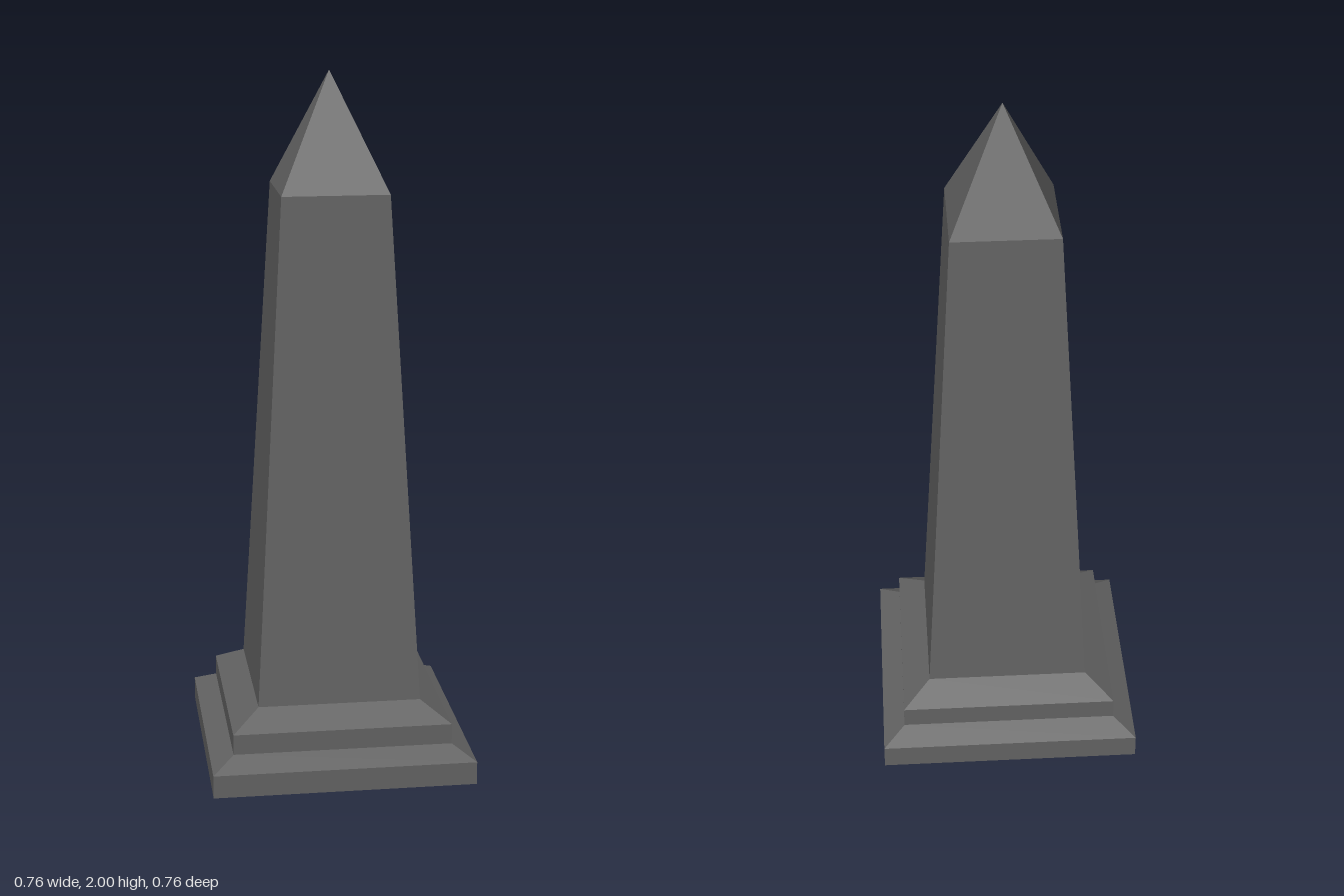
import * as THREE from 'three';

const material = new THREE.MeshStandardMaterial({ color: 0x626262, flatShading: true });

// Square solid from a side profile of [half width, height], listed bottom to top
function squareLathe(name, profile) {
  const points = profile.map(([half, y]) => new THREE.Vector2(half * Math.SQRT2, y));
  const mesh = new THREE.Mesh(new THREE.LatheGeometry(points, 4, Math.PI / 4), material);
  mesh.name = name;
  return mesh;
}

export function createModel() {
  const obelisk = new THREE.Group();
  obelisk.name = 'obelisk';
  obelisk.add(
    // Two plinth steps, each with a sloped upper edge
    squareLathe('lowerPlinth', [[0, 0], [0.378, 0], [0.378, 0.067], [0.315, 0.102]]),
    squareLathe('upperPlinth', [[0.315, 0.102], [0.315, 0.161], [0.235, 0.21]]),
    // Tapering shaft and pointed cap
    squareLathe('shaft', [[0.235, 0.21], [0.152, 1.67]]),
    squareLathe('pyramidCap', [[0.152, 1.67], [0, 2]]),
  );
  return obelisk;
}
